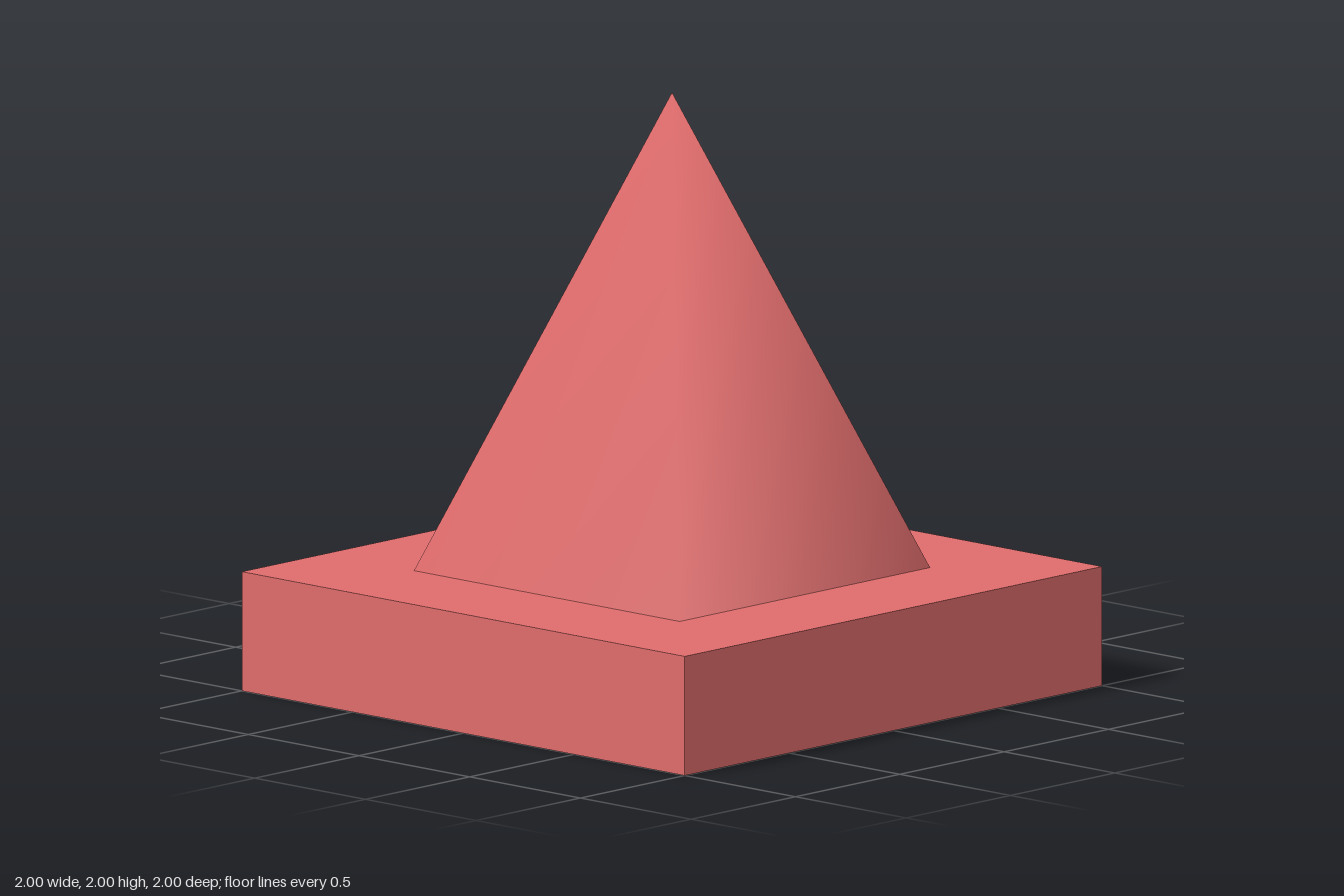
import * as THREE from 'three';

// Four-sided spire with normals shared across its edges, so it shades smoothly
function spireGeometry(half, bottom, top) {
  const geometry = new THREE.BufferGeometry();
  geometry.setAttribute('position', new THREE.Float32BufferAttribute([
    -half, bottom, half,
    half, bottom, half,
    half, bottom, -half,
    -half, bottom, -half,
    0, top, 0,
  ], 3));
  const index = [];
  for (let i = 0; i < 4; i++) index.push(i, (i + 1) % 4, 4);
  geometry.setIndex(index);
  geometry.computeVertexNormals();
  return geometry;
}

export function createModel() {
  const model = new THREE.Group();
  model.name = 'squareCone';

  const red = new THREE.MeshStandardMaterial({ color: 0xe06c6c });
  red.name = 'softRed';

  // Square slab
  const base = new THREE.Mesh(new THREE.BoxGeometry(2, 0.4, 2), red);
  base.name = 'base';
  base.position.y = 0.2;

  // Spire standing on the slab
  const spire = new THREE.Mesh(spireGeometry(0.6, 0.4, 2), red);
  spire.name = 'spire';

  model.add(base, spire);
  return model;
}
